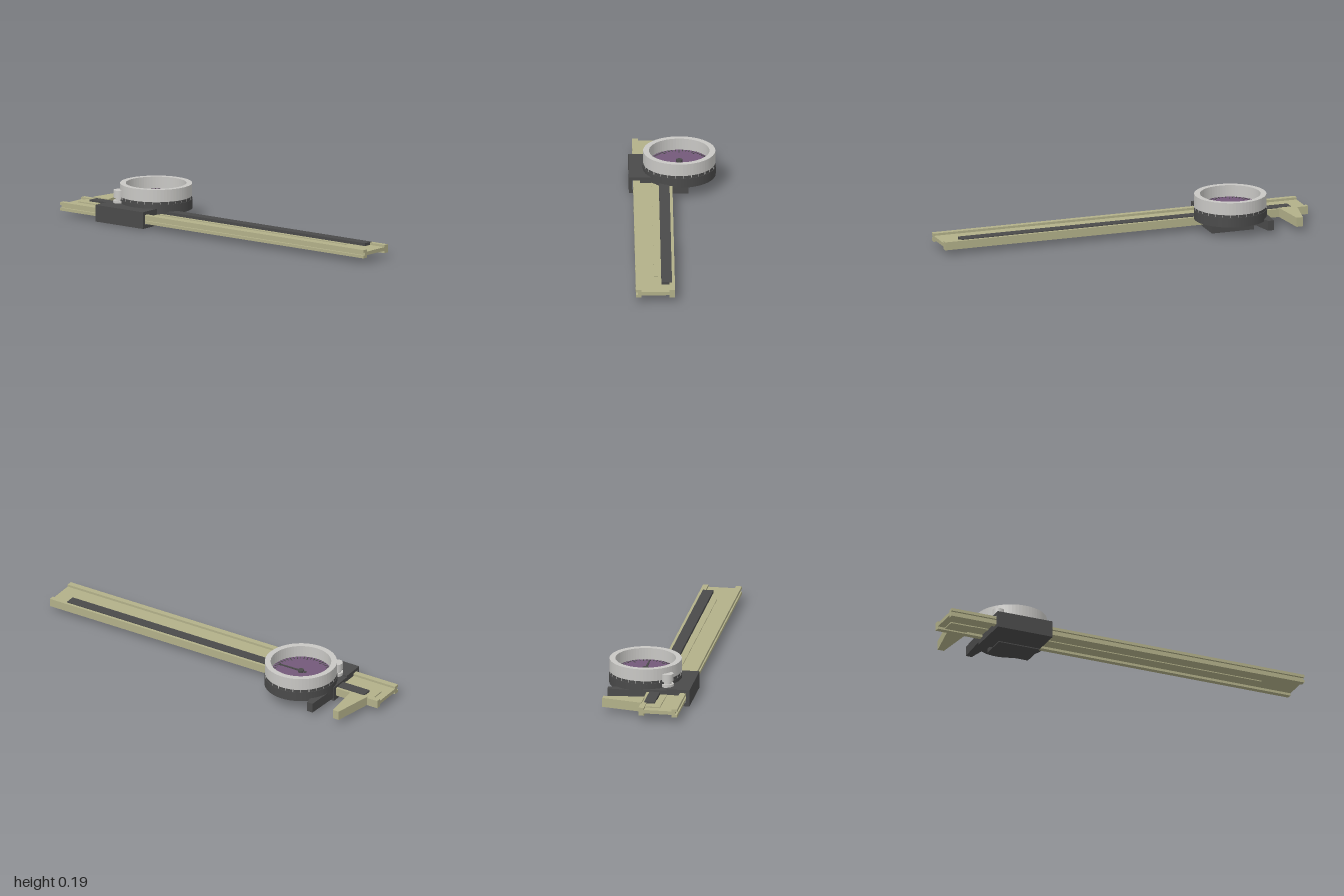
import * as THREE from 'three';

const mat = (name, color) => new THREE.MeshStandardMaterial({ name, color });

export function createModel() {
  const root = new THREE.Group();
  root.name = 'dialCaliper';
  const olive = mat('olive metal', 0xb2b089);
  const dark = mat('dark grey', 0x4a4a4a);
  const silver = mat('silver', 0xc8c7c4);
  const purple = mat('dial purple', 0x73597a);

  const add = (name, geo, material, parent = root) => {
    const m = new THREE.Mesh(geo, material);
    m.name = name;
    parent.add(m);
    return m;
  };
  const box = (name, material, x0, x1, y0, y1, z0, z1) => {
    const g = new THREE.BoxGeometry(x1 - x0, y1 - y0, z1 - z0);
    g.translate((x0 + x1) / 2, (y0 + y1) / 2, (z0 + z1) / 2);
    return add(name, g, material);
  };
  // Section in (z, y), swept along x
  const toSection = pts => pts.map(([z, y]) => new THREE.Vector2(-z, y));
  const sweepX = (pts, x0, x1, hole) => {
    const s = new THREE.Shape(toSection(pts));
    if (hole) s.holes.push(new THREE.Path(toSection(hole)));
    const g = new THREE.ExtrudeGeometry(s, { depth: x1 - x0, bevelEnabled: false });
    return g.rotateY(Math.PI / 2).translate(x0, 0, 0);
  };
  // Plan in (x, z), raised along y
  const raise = (pts, y0, y1) => {
    const s = new THREE.Shape(pts.map(([x, z]) => new THREE.Vector2(x, -z)));
    const g = new THREE.ExtrudeGeometry(s, { depth: y1 - y0, bevelEnabled: false });
    return g.rotateX(-Math.PI / 2).translate(0, y0, 0);
  };

  // Beam: thin web with a flange at each edge, grooved along the front
  add('beam', sweepX([
    [0, 0.028], [0.028, 0.028], [0.028, 0.041], [0.173, 0.041], [0.173, 0.028],
    [0.203, 0.028], [0.203, 0.043], [0.191, 0.043], [0.191, 0.057], [0.203, 0.057],
    [0.203, 0.072], [0.173, 0.072], [0.173, 0.06], [0.028, 0.06], [0.028, 0.071], [0, 0.071],
  ], -1, 1), olive);
  box('beamRib', olive, -0.84, 0.8, 0.036, 0.064, 0.086, 0.107);
  box('rackStrip', dark, -0.91, 0.905, 0.059, 0.075, 0.015, 0.07);

  // Fixed jaw and its base plate
  add('fixedJaw', raise([[-0.938, 0.005], [-0.895, -0.208], [-0.86, -0.208], [-0.838, 0.005]],
    0.028, 0.077), olive);
  box('fixedJawBase', olive, -0.96, -0.838, 0.035, 0.066, 0.01, 0.106);

  // Slider body, with a channel clearing the front flange
  add('sliderBody', sweepX(
    [[-0.02, 0.005], [0.225, 0.005], [0.225, 0.093], [0.105, 0.093], [0.105, 0.085], [-0.02, 0.085]],
    -0.748, -0.437,
    [[0, 0.028], [0.028, 0.028], [0.028, 0.041], [0.168, 0.041], [0.168, 0.024], [0.208, 0.024],
      [0.208, 0.076], [0.168, 0.076], [0.168, 0.062], [0.028, 0.062], [0.028, 0.071], [0, 0.071]],
  ), dark);
  box('lowerBlock', dark, -0.67, -0.44, 0, 0.027, -0.083, 0.065);
  box('dialMount', dark, -0.67, -0.44, 0.02, 0.07, -0.083, -0.015);
  add('slidingJaw', raise([[-0.746, -0.015], [-0.735, -0.208], [-0.702, -0.208], [-0.68, -0.1],
    [-0.65, -0.083], [-0.65, -0.015]], 0.023, 0.075), dark);

  // Thumb knob: stem, wide grip and cap
  const knob = new THREE.Group();
  knob.name = 'thumbKnob';
  knob.position.set(-0.69, 0, 0.1);
  root.add(knob);
  for (const [name, r, y0, y1] of [['knobFoot', 0.033, 0.09, 0.106],
    ['knobStem', 0.022, 0.1, 0.125], ['knobGrip', 0.031, 0.12, 0.16]]) {
    add(name, new THREE.CylinderGeometry(r, r, y1 - y0, 20).translate(0, (y0 + y1) / 2, 0), silver, knob);
  }

  // Dial
  const dial = new THREE.Group();
  dial.name = 'dial';
  dial.position.set(-0.557, 0, -0.037);
  root.add(dial);
  const disc = (name, material, r, y0, y1) =>
    add(name, new THREE.CylinderGeometry(r, r, y1 - y0, 64).translate(0, (y0 + y1) / 2, 0), material, dial);
  disc('dialCase', dark, 0.189, 0.062, 0.112);
  disc('dialCaseRim', dark, 0.186, 0.112, 0.127);
  disc('dialFace', purple, 0.157, 0.127, 0.13);

  const ring = new THREE.Shape().absarc(0, 0, 0.187, 0, Math.PI * 2);
  ring.holes.push(new THREE.Path().absarc(0, 0, 0.157, 0, Math.PI * 2, true));
  add('bezel', new THREE.ExtrudeGeometry(ring, { depth: 0.065, bevelEnabled: false, curveSegments: 32 })
    .rotateX(-Math.PI / 2).translate(0, 0.127, 0), silver, dial);

  // Graduations on the face, every fifth one longer
  for (let i = 0; i < 50; i++) {
    const len = i % 5 ? 0.02 : 0.032;
    const g = new THREE.BoxGeometry(len, 0.002, 0.004).translate(0.154 - len / 2, 0.131, 0);
    add('faceMark', g, dark, dial).rotation.y = i * Math.PI / 25;
  }
  // Short marks below the bezel
  for (let i = 0; i < 28; i++) {
    const g = new THREE.BoxGeometry(0.003, 0.012, 0.003).translate(0.1855, 0.12, 0);
    add('rimMark', g, silver, dial).rotation.y = (i + 0.5) * Math.PI / 14;
  }
  // Needle pointing to +x
  add('needle', raise([[-0.03, -0.006], [-0.03, 0.006], [0.135, 0.003], [0.135, -0.003]], 0.133, 0.138), dark, dial);
  disc('needleHub', dark, 0.016, 0.13, 0.142);

  return root;
}
